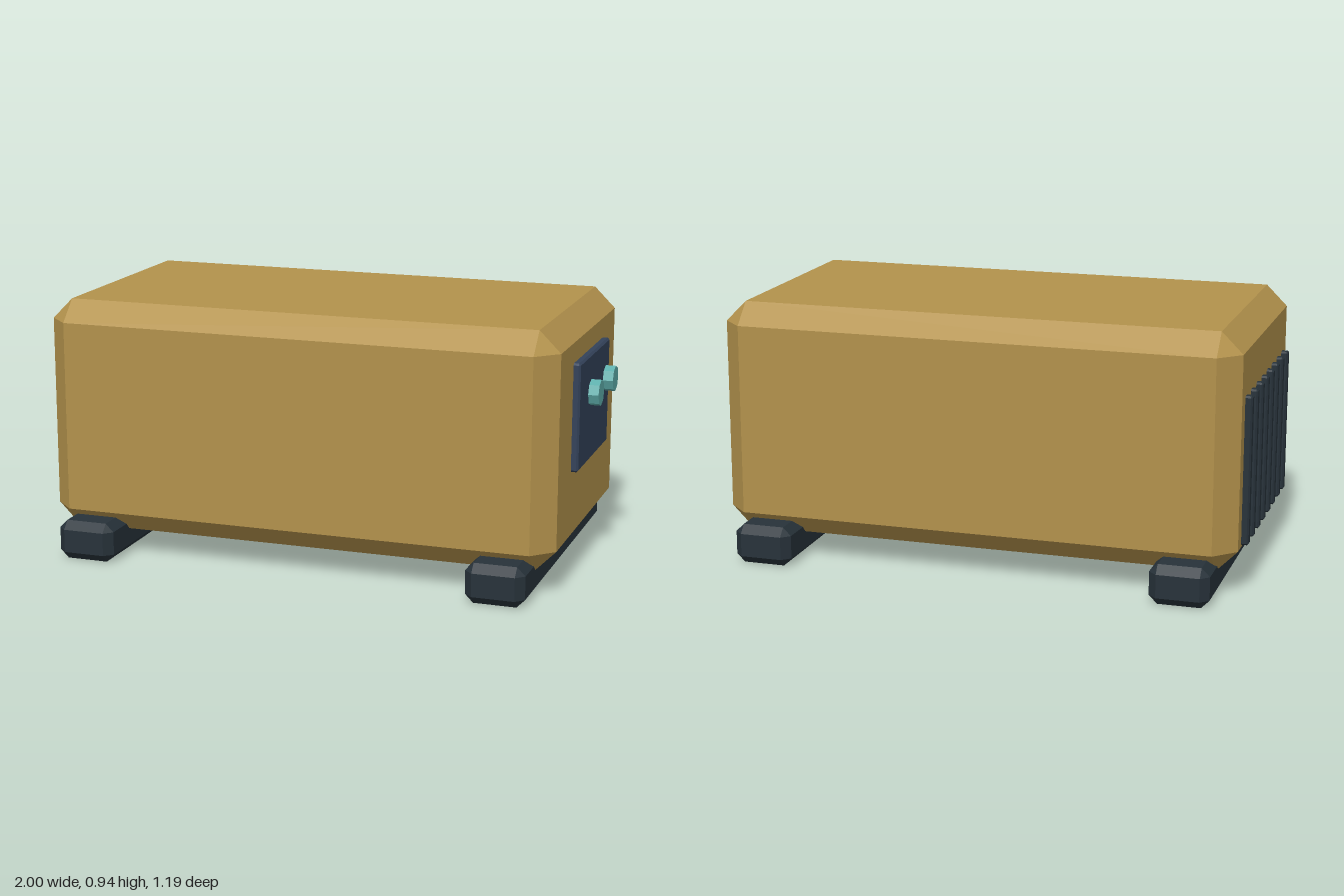
import * as THREE from 'three';
import { ConvexGeometry } from 'three/addons/geometries/ConvexGeometry.js';

const material = (color) => new THREE.MeshStandardMaterial({ color, flatShading: true });

// Box with all edges cut at 45 degrees by c, given as [min, max] ranges
function chamferBox(name, [x0, x1], [y0, y1], [z0, z1], c, mat) {
  const half = [(x1 - x0) / 2, (y1 - y0) / 2, (z1 - z0) / 2];
  const points = [];
  for (const sx of [-1, 1]) for (const sy of [-1, 1]) for (const sz of [-1, 1]) {
    for (let axis = 0; axis < 3; axis++) {
      // On each corner, one point per adjoining face
      const p = half.map((h, i) => (i === axis ? h : h - c));
      points.push(new THREE.Vector3(p[0] * sx, p[1] * sy, p[2] * sz));
    }
  }
  const mesh = new THREE.Mesh(new ConvexGeometry(points), mat);
  mesh.name = name;
  mesh.position.set((x0 + x1) / 2, (y0 + y1) / 2, (z0 + z1) / 2);
  return mesh;
}

export function createModel() {
  const model = new THREE.Group();
  model.name = 'generator';
  const shell = material(0xb3924c);
  const dark = material(0x27323a);
  const navy = material(0x33425a);
  const teal = material(0x5fafac);

  // Housing
  model.add(chamferBox('housing', [-0.975, 0.925], [0.092, 0.945], [-0.506, 0.506], 0.077, shell));

  // Cross skids
  for (const x of [-0.8, 0.745]) {
    model.add(chamferBox('skid', [x - 0.107, x + 0.107], [0, 0.145], [-0.595, 0.595], 0.03, dark));
  }

  // Control panel
  model.add(chamferBox('controlPanel', [0.915, 0.95], [0.404, 0.795], [-0.238, 0.238], 0.007, navy));

  // Two eight-sided knobs
  for (const z of [-0.119, 0.119]) {
    const knob = new THREE.Mesh(new THREE.CylinderGeometry(0.047, 0.047, 0.037, 8), teal);
    knob.name = 'knob';
    knob.rotation.z = -Math.PI / 2;
    knob.position.set(0.9815, 0.67, z);
    model.add(knob);
  }

  // Vent slats at the other end
  for (let i = 0; i < 8; i++) {
    const z = (i - 3.5) * 0.1015;
    model.add(chamferBox('ventSlat', [-1, -0.96], [0.176, 0.711], [z - 0.018, z + 0.018], 0.006, dark));
  }
  return model;
}
